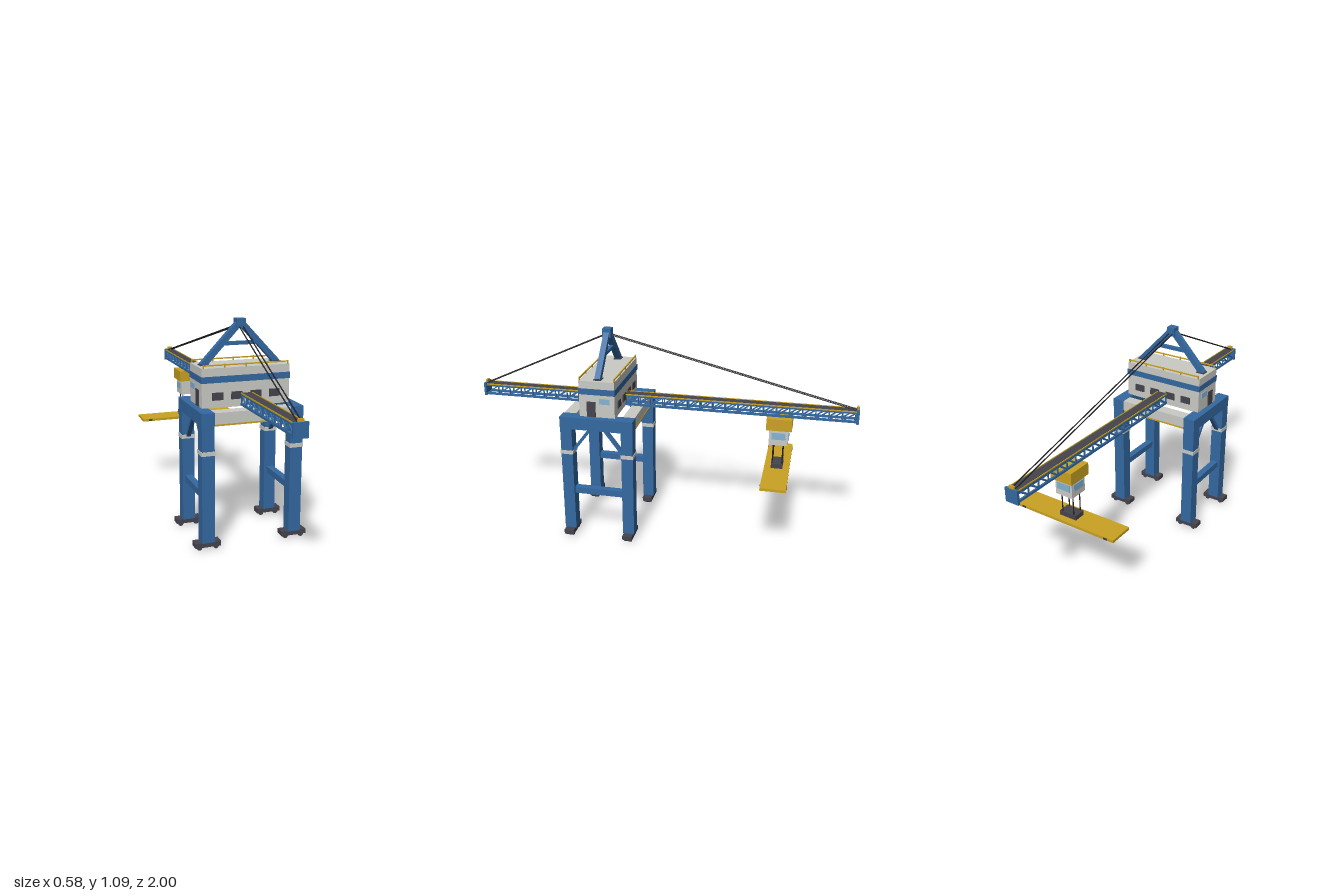
import * as THREE from 'three';

const mat = (name, color, extra = {}) => {
  const m = new THREE.MeshStandardMaterial({ color, ...extra });
  m.name = name;
  return m;
};

export function createModel() {
  const blue = mat('blue steel', 0x3469a1);
  const grey = mat('light grey', 0xcbcbc6);
  const yellow = mat('safety yellow', 0xcaa222);
  const dark = mat('dark grey', 0x45444e);
  const glass = mat('window blue', 0x84b4d4);
  const black = mat('cable black', 0x232328);

  const crane = new THREE.Group();
  crane.name = 'gantryCrane';
  const group = (name) => {
    const g = new THREE.Group();
    g.name = name;
    crane.add(g);
    return g;
  };
  const add = (parent, name, geo, material, x, y, z) => {
    const m = new THREE.Mesh(geo, material);
    m.name = name;
    m.position.set(x, y, z);
    parent.add(m);
    return m;
  };
  const box = (parent, name, material, w, h, d, x, y, z) =>
    add(parent, name, new THREE.BoxGeometry(w, h, d), material, x, y, z);
  // Square bar between two points
  const bar = (parent, name, material, a, b, w, d = w) => {
    const p = new THREE.Vector3(...a), q = new THREE.Vector3(...b);
    const mid = p.clone().add(q).multiplyScalar(0.5);
    const m = box(parent, name, material, w, d, p.distanceTo(q), mid.x, mid.y, mid.z);
    m.lookAt(q);
    return m;
  };
  // Round rope between two points
  const rope = (parent, name, a, b, r) => {
    const p = new THREE.Vector3(...a), q = new THREE.Vector3(...b);
    const mid = p.clone().add(q).multiplyScalar(0.5);
    const m = add(parent, name, new THREE.CylinderGeometry(r, r, p.distanceTo(q), 6), black, mid.x, mid.y, mid.z);
    m.quaternion.setFromUnitVectors(new THREE.Vector3(0, 1, 0), q.sub(p).normalize());
    return m;
  };

  const ZC = 0.295, LEG_X = 0.225, LEG_Z = 0.161;

  // Portal: legs, bogies, bands, side beams and braces
  const portal = group('portal');
  for (const sx of [-1, 1]) {
    const x = sx * LEG_X;
    for (const sz of [-1, 1]) {
      const z = ZC + sz * LEG_Z;
      box(portal, 'leg', blue, 0.063, 0.58, 0.061, x, 0.328, z);
      box(portal, 'legBand', grey, 0.069, 0.02, 0.067, x, 0.485, z);
      box(portal, 'bogie', dark, 0.13, 0.024, 0.052, x, 0.027, z);
      for (const dx of [-0.042, 0.042]) {
        const wheel = add(portal, 'wheel', new THREE.CylinderGeometry(0.014, 0.014, 0.04, 14), dark, x + dx, 0.014, z);
        wheel.rotation.x = Math.PI / 2;
      }
      bar(portal, 'kneeBrace', blue, [x, 0.49, ZC + sz * 0.132], [x, 0.625, ZC + sz * 0.03], 0.022, 0.016);
    }
    box(portal, 'sideBeam', blue, 0.064, 0.064, 0.385, x, 0.648, ZC);
    box(portal, 'middleTie', blue, 0.036, 0.034, 0.27, x, 0.262, ZC);
  }
  for (const sz of [-1, 1]) {
    const z = ZC + sz * 0.157;
    box(portal, 'crossBeam', grey, 0.39, 0.056, 0.062, 0, 0.65, z);
    box(portal, 'crossBeamStripe', yellow, 0.38, 0.008, 0.006, 0, 0.619, z + sz * 0.03);
  }

  // Machinery house with band, windows, doors and roof rails
  const house = group('machineryHouse');
  box(house, 'walls', grey, 0.448, 0.192, 0.186, 0, 0.774, ZC);
  box(house, 'band', blue, 0.454, 0.031, 0.192, 0, 0.815, ZC);
  for (const s of [-1, 1]) {
    for (const x of [-0.145, -0.049, 0.049, 0.145])
      box(house, 'houseWindow', dark, 0.055, 0.037, 0.008, x, 0.734, ZC + s * 0.094);
    box(house, 'door', dark, 0.008, 0.08, 0.046, s * 0.225, 0.722, 0.325);
    box(house, 'sideWindow', glass, 0.008, 0.029, 0.054, s * 0.225, 0.767, 0.254);
    const z = ZC + s * 0.09;
    box(house, 'roofRail', yellow, 0.436, 0.006, 0.006, 0, 0.883, z);
    for (const x of [-0.215, -0.108, 0, 0.108, 0.215])
      box(house, 'railPost', yellow, 0.006, 0.02, 0.006, x, 0.878, z);
  }

  // Lattice boom with a walkway on top
  const boom = group('boom');
  const panels = 30, step = 1.97 / panels;
  for (const sx of [-1, 1]) {
    const x = sx * 0.024;
    for (const y of [0.688, 0.736]) box(boom, 'chord', blue, 0.01, 0.011, 1.98, x, y, 0);
    box(boom, 'walkwayEdge', yellow, 0.004, 0.006, 1.97, sx * 0.028, 0.742, 0);
    for (let i = 0; i < panels; i++) {
      const z = -0.985 + i * step;
      box(boom, 'upright', blue, 0.006, 0.045, 0.006, x, 0.712, z);
      bar(boom, 'diagonal', blue, [x, 0.736, z], [x, 0.688, z + step], 0.006);
    }
  }
  for (let i = 0; i <= panels; i++)
    box(boom, 'bottomTie', blue, 0.046, 0.006, 0.008, 0, 0.688, -0.985 + i * step);
  box(boom, 'walkway', dark, 0.046, 0.008, 1.97, 0, 0.739, 0);
  for (const s of [-1, 1]) {
    box(boom, 'endCap', blue, 0.07, 0.07, 0.012, 0, 0.713, s * 0.994);
    box(boom, 'stayAnchor', yellow, 0.028, 0.018, 0.01, 0, 0.753, s * 0.992);
  }

  // A-frame and stay cables
  const mast = group('aFrame');
  box(mast, 'mastHead', blue, 0.046, 0.046, 0.046, 0, 1.066, ZC);
  box(mast, 'mastTie', blue, 0.19, 0.017, 0.02, 0, 0.97, ZC);
  for (const s of [-1, 1]) {
    bar(mast, 'mastLeg', blue, [s * 0.193, 0.868, ZC], [s * 0.005, 1.068, ZC], 0.03, 0.03);
    box(mast, 'mastFoot', dark, 0.045, 0.006, 0.04, s * 0.185, 0.872, ZC);
    for (const end of [-1, 1])
      rope(mast, 'stayCable', [s * 0.01, 1.06, ZC], [s * 0.01, 0.745, end * 0.985], 0.003);
  }

  // Trolley, cabin, hoist ropes and spreader
  const ZT = -0.612;
  const trolley = group('trolley');
  box(trolley, 'trolleyFrame', yellow, 0.122, 0.062, 0.13, 0, 0.65, ZT);
  box(trolley, 'cabin', grey, 0.097, 0.086, 0.097, 0, 0.578, ZT);
  box(trolley, 'cabinBackWindow', glass, 0.075, 0.036, 0.006, 0, 0.585, ZT - 0.049);
  for (const s of [-1, 1]) {
    box(trolley, 'cabinSideWindow', glass, 0.006, 0.036, 0.07, s * 0.049, 0.585, ZT);
    for (const t of [-1, 1]) {
      rope(trolley, 'hoistRope', [s * 0.033, 0.425, ZT + t * 0.025], [s * 0.033, 0.54, ZT + t * 0.025], 0.0028);
      box(trolley, 'spreaderLock', dark, 0.022, 0.01, 0.006, s * 0.246, 0.397, ZT + t * 0.064);
    }
  }
  box(trolley, 'headBlock', dark, 0.096, 0.024, 0.06, 0, 0.416, ZT);
  box(trolley, 'spreader', yellow, 0.58, 0.014, 0.13, 0, 0.397, ZT);

  return crane;
}
